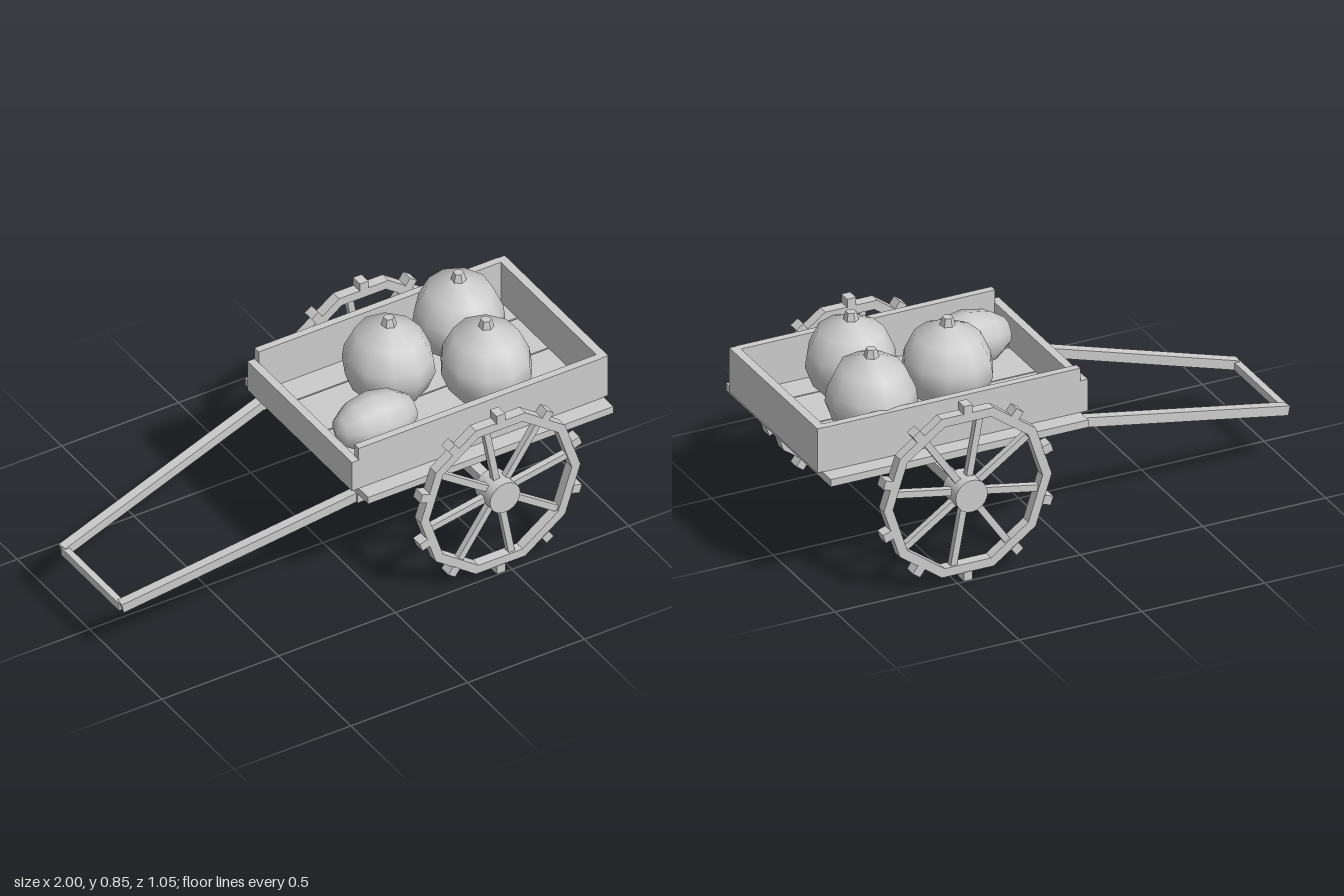
import * as THREE from 'three';

const mat = new THREE.MeshStandardMaterial({ color: 0xcccccc });
const flat = new THREE.MeshStandardMaterial({ color: 0xcccccc, flatShading: true });

function add(parent, name, geometry, x = 0, y = 0, z = 0, material = mat) {
  const mesh = new THREE.Mesh(geometry, material);
  mesh.name = name;
  mesh.position.set(x, y, z);
  parent.add(mesh);
  return mesh;
}

// Box given by its minimum and maximum on each axis
function span(parent, name, x0, x1, y0, y1, z0, z1) {
  return add(parent, name, new THREE.BoxGeometry(x1 - x0, y1 - y0, z1 - z0),
    (x0 + x1) / 2, (y0 + y1) / 2, (z0 + z1) / 2);
}

// Square bar between two points
function bar(parent, name, a, b, size) {
  const mesh = add(parent, name, new THREE.BoxGeometry(size, size, a.distanceTo(b)));
  mesh.position.copy(a).lerp(b, 0.5);
  mesh.lookAt(b);
  return mesh;
}

function polygon(Type, radius, sides) {
  const points = [];
  for (let i = 0; i < sides; i++) {
    const a = (i / sides) * Math.PI * 2;
    points.push(new THREE.Vector2(Math.cos(a) * radius, Math.sin(a) * radius));
  }
  return new Type(points);
}

function makeWheel(name) {
  const wheel = new THREE.Group();
  wheel.name = name;

  // Ten-sided rim
  const shape = polygon(THREE.Shape, 0.342, 10);
  shape.holes.push(polygon(THREE.Path, 0.305, 10));
  const rim = new THREE.ExtrudeGeometry(shape, { depth: 0.042, bevelEnabled: false });
  rim.translate(0, 0, -0.021);
  add(wheel, 'rim', rim, 0, 0, 0, flat);

  // A cleat on the middle of each rim side
  for (let i = 0; i < 10; i++) {
    const a = ((i + 0.5) / 10) * Math.PI * 2;
    const cleat = add(wheel, 'cleat', new THREE.BoxGeometry(0.036, 0.036, 0.048),
      Math.cos(a) * 0.341, Math.sin(a) * 0.341, 0);
    cleat.rotation.z = a;
  }

  // Eight spokes
  for (let i = 0; i < 8; i++) {
    const a = (i / 8) * Math.PI * 2 + 0.18;
    const spoke = add(wheel, 'spoke', new THREE.BoxGeometry(0.26, 0.026, 0.026),
      Math.cos(a) * 0.17, Math.sin(a) * 0.17, 0);
    spoke.rotation.z = a;
  }

  const hub = new THREE.CylinderGeometry(0.065, 0.065, 0.105, 20);
  add(wheel, 'hub', hub.rotateX(Math.PI / 2));
  return wheel;
}

function makePumpkin(x, z, turn) {
  const pumpkin = new THREE.Group();
  pumpkin.name = 'pumpkin';
  const profile = [[0, 0], [0.09, 0.01], [0.15, 0.055], [0.182, 0.135],
    [0.174, 0.19], [0.132, 0.275], [0.03, 0.318], [0, 0.32]]
    .map(([r, y]) => new THREE.Vector2(r, y));
  add(pumpkin, 'pumpkinBody', new THREE.LatheGeometry(profile, 10));
  add(pumpkin, 'stem', new THREE.CylinderGeometry(0.021, 0.033, 0.04, 6), 0, 0.33, 0, flat);
  pumpkin.position.set(x, 0.505, z);
  pumpkin.rotation.y = turn;
  pumpkin.scale.x = 0.93;
  return pumpkin;
}

export function createModel() {
  const cart = new THREE.Group();
  cart.name = 'handCart';

  // Floor of four planks with narrow gaps
  for (let i = 0; i < 4; i++) {
    const z = -0.427 + i * 0.2145;
    span(cart, 'floorPlank', -0.07, 0.98, 0.475, 0.505, z, z + 0.209);
  }

  // End boards; the one by the handle is lower
  span(cart, 'frontBoard', -0.1, -0.068, 0.505, 0.635, -0.362, 0.362);
  span(cart, 'tailBoard', 0.966, 1, 0.505, 0.686, -0.358, 0.358);

  // Side boards, floor beams and handle shafts, mirrored
  for (const s of [-1, 1]) {
    const side = s > 0 ? 'left' : 'right';
    add(cart, side + 'SideBoard', new THREE.BoxGeometry(1.04, 0.181, 0.03), 0.45, 0.5955, s * 0.345);
    add(cart, side + 'Beam', new THREE.BoxGeometry(0.98, 0.043, 0.043), 0.42, 0.4535, s * 0.33);
    bar(cart, side + 'Shaft', new THREE.Vector3(-0.06, 0.455, s * 0.327),
      new THREE.Vector3(-0.99, 0.23, s * 0.2), 0.038);
  }
  span(cart, 'handleBar', -0.998, -0.972, 0.212, 0.244, -0.2, 0.2);

  // Axle and wheels
  span(cart, 'axle', 0.434, 0.476, 0.339, 0.381, -0.43, 0.43);
  for (const s of [-1, 1]) {
    const wheel = makeWheel(s > 0 ? 'leftWheel' : 'rightWheel');
    wheel.position.set(0.455, 0.36, s * 0.473);
    cart.add(wheel);
  }

  // Load of pumpkins and one melon lying down
  cart.add(makePumpkin(0.325, -0.07, 0.15));
  cart.add(makePumpkin(0.685, -0.168, -0.12));
  cart.add(makePumpkin(0.62, 0.127, 0.05));
  const melon = add(cart, 'melon', new THREE.SphereGeometry(1, 10, 6).rotateZ(Math.PI / 2),
    0.125, 0.612, 0.158);
  melon.scale.set(0.17, 0.108, 0.115);

  return cart;
}
